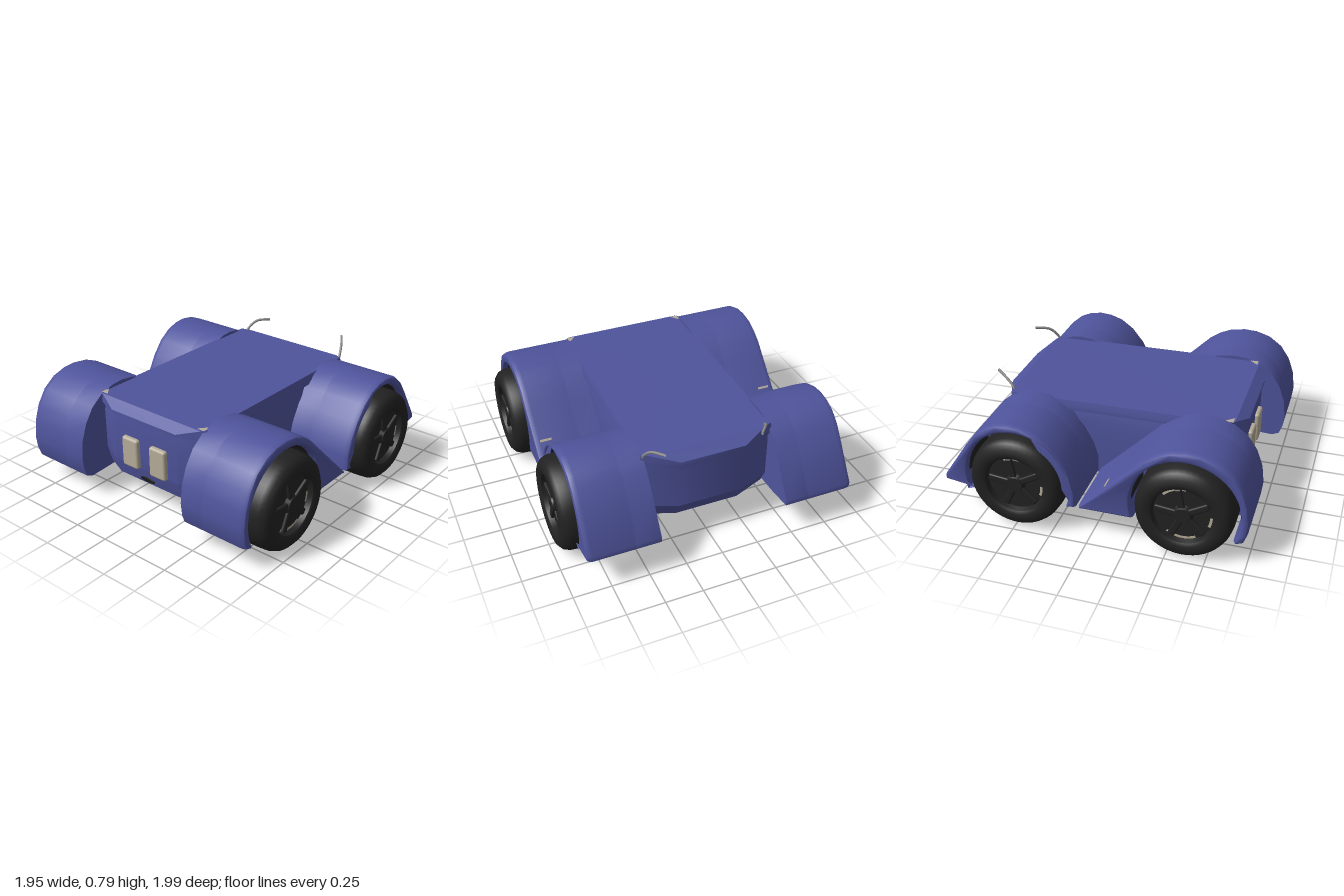
import * as THREE from 'three';
import { toCreasedNormals } from 'three/addons/utils/BufferGeometryUtils.js';
import { RoundedBoxGeometry } from 'three/addons/geometries/RoundedBoxGeometry.js';

const mat = (name, color, side = THREE.FrontSide) => {
  const m = new THREE.MeshStandardMaterial({ color, side });
  m.name = name;
  return m;
};

export function createModel() {
  const blue = mat('body blue', 0x4f549c);
  const black = mat('tyre black', 0x222222, THREE.DoubleSide);
  const cream = mat('lamp cream', 0xb5ab98, THREE.DoubleSide);
  const grey = mat('metal grey', 0x8a8a8a, THREE.DoubleSide);

  const model = new THREE.Group();
  model.name = 'buggy';
  const shell = new THREE.Group();
  shell.name = 'shell';
  shell.position.x = -0.015;
  model.add(shell);

  const add = (parent, name, geometry, material, x = 0, y = 0, z = 0) => {
    const mesh = new THREE.Mesh(geometry, material);
    mesh.name = name;
    mesh.position.set(x, y, z);
    parent.add(mesh);
    return mesh;
  };

  // Closed loft through chamfered rectangles stacked in y
  const loft = (levels) => {
    const rings = levels.map(({ y, hw, fw, bw, zf, zb, cf, cb }) => [
      [fw, zf], [hw, zf - cf], [hw, zb + cb], [bw, zb],
      [-bw, zb], [-hw, zb + cb], [-hw, zf - cf], [-fw, zf],
    ].map(([x, z]) => [x, y + 0.01 * z, z]));
    const pos = [];
    const tri = (a, b, c) => pos.push(...a, ...b, ...c);
    const bottom = rings[0], top = rings[rings.length - 1];
    for (let i = 0; i < 8; i++) {
      const j = (i + 1) % 8;
      for (let k = 0; k + 1 < rings.length; k++) {
        const lo = rings[k], hi = rings[k + 1];
        tri(lo[i], lo[j], hi[i]);
        tri(lo[j], hi[j], hi[i]);
      }
      tri([0, top[0][1], 0], top[i], top[j]);
      tri([0, bottom[0][1], 0], bottom[j], bottom[i]);
    }
    const g = new THREE.BufferGeometry();
    g.setAttribute('position', new THREE.Float32BufferAttribute(pos, 3));
    return toCreasedNormals(g, 0.45);
  };

  // Hull and lid
  const plan = { hw: 0.445, fw: 0.27, bw: 0.22, zf: 0.845, zb: -0.78, cf: 0.08, cb: 0.09 };
  add(shell, 'hull', loft([
    { ...plan, y: 0.18, zf: 0.81, zb: -0.71 },
    { ...plan, y: 0.3 },
    { ...plan, y: 0.57 },
    { ...plan, y: 0.64, hw: 0.43, zf: 0.84 },
  ]), blue);
  add(shell, 'lid', loft([
    { ...plan, y: 0.635, hw: 0.455, zf: 0.86, zb: -0.79 },
    { ...plan, y: 0.655, hw: 0.455, zf: 0.86, zb: -0.79 },
    { ...plan, y: 0.702, hw: 0.445, fw: 0.42, bw: 0.4, zf: 0.795, zb: -0.71, cf: 0.02, cb: 0.02 },
  ]), blue);

  // Front lamps, air slot and pale lid corners
  for (const s of [-1, 1]) {
    add(shell, 'frontLamp', new RoundedBoxGeometry(0.135, 0.21, 0.05, 3, 0.018), cream, s * 0.117, 0.405, 0.85);
    const corner = new THREE.Shape([[0.435, -0.72], [0.435, -0.785], [0.38, -0.785]].map(([x, y]) => new THREE.Vector2(s * x, y)));
    add(shell, 'lidCorner', new THREE.ShapeGeometry(corner).rotateX(-Math.PI / 2), cream, 0, 0.713, 0);
  }
  const slot = add(shell, 'airSlot', new THREE.CylinderGeometry(0.06, 0.06, 0.008, 24).rotateX(Math.PI / 2), black, -0.01, 0.225, 0.828);
  slot.scale.y = 0.3;
  slot.rotation.x = 0.28;

  // Fenders: a solid inner part and an outer part cut by the wheel arch
  const ARCH = 0.345, OUTER = 0.91;
  const extrudeAcross = (pts, inner, outer, bevel) => {
    const t = bevel ? 0.04 : 0;
    const g = new THREE.ExtrudeGeometry(new THREE.Shape(pts), {
      depth: outer - inner - 2 * t, bevelEnabled: bevel, bevelThickness: t,
      bevelSize: 0.018, bevelOffset: -0.018, bevelSegments: 3,
    });
    g.rotateY(-Math.PI / 2).translate(outer - t, 0, 0);
    return toCreasedNormals(g, 0.6);
  };
  const axles = [
    {
      name: 'front', z: 0.6, y: 0.32, from: 200, to: -27,
      outline: [[0.92, 0.145], [0.97, 0.165], [0.99, 0.22], [1, 0.31], [0.985, 0.43], [0.945, 0.54], [0.88, 0.635],
        [0.79, 0.7], [0.69, 0.73], [0.6, 0.735], [0.5, 0.72], [0.42, 0.685], [0.34, 0.63], [0.26, 0.55], [-0.08, 0.215], [-0.08, 0.2]],
    },
    {
      name: 'rear', z: -0.485, y: 0.325, from: 197, to: -22,
      outline: [[-0.1, 0.2], [-0.1, 0.31], [-0.13, 0.41], [-0.19, 0.52], [-0.27, 0.62], [-0.36, 0.685], [-0.45, 0.715],
        [-0.53, 0.722], [-0.61, 0.71], [-0.69, 0.675], [-0.76, 0.615], [-0.83, 0.52], [-0.99, 0.28], [-0.99, 0.245], [-0.8, 0.225]],
    },
  ];
  for (const a of axles) {
    const outline = a.outline.map((p) => new THREE.Vector2(...p));
    const arch = [];
    for (let i = 0; i <= 28; i++) {
      const t = THREE.MathUtils.degToRad(a.from + (a.to - a.from) * i / 28);
      arch.push(new THREE.Vector2(a.z + ARCH * Math.cos(t), a.y + ARCH * Math.sin(t)));
    }
    for (const s of [-1, 1]) {
      const flip = s > 0 ? 0 : -2 * OUTER + (OUTER - 0.55);
      const flipInner = s > 0 ? 0 : -0.6 - 0.43;
      add(shell, a.name + 'FenderOuter', extrudeAcross([...outline, ...arch], 0.55, OUTER, true), blue, flip);
      add(shell, a.name + 'FenderInner', extrudeAcross(outline, 0.43, 0.6, false), blue, flipInner);
      // Dark lining inside the wheel arch
      const lining = new THREE.CylinderGeometry(ARCH - 0.003, ARCH - 0.003, 0.27, 40, 1, true, Math.PI / 2, Math.PI);
      lining.rotateZ(Math.PI / 2).rotateX(0);
      const p = lining.attributes.position;
      for (let i = 0; i < p.count; i++) {
        // keep the half ring above the axle whatever its start angle
        const ang = Math.PI * (i % 41) / 40;
        p.setXYZ(i, p.getX(i), (ARCH - 0.003) * Math.sin(ang), (ARCH - 0.003) * Math.cos(ang));
      }
      lining.computeVertexNormals();
      add(shell, a.name + 'ArchLining', lining, black, s * 0.735, a.y, a.z);
    }
  }
  // Pale slivers on the sloping tails of the front fenders
  for (const s of [-1, 1]) {
    const sliver = add(shell, 'fenderMark', new THREE.BoxGeometry(0.08, 0.006, 0.016), cream, s * 0.83, 0.384, 0.09);
    sliver.rotation.x = -0.78;
  }

  // Wheels, modelled along +x and turned round for the right side
  const tyre = [[0.22, 0.012], [0.26, 0], [0.29, 0.02], [0.31, 0.06], [0.314, 0.12], [0.314, 0.22], [0.309, 0.28],
    [0.295, 0.315], [0.265, 0.34], [0.215, 0.342], [0.195, 0.33], [0.185, 0.295], [0, 0.295]];
  const tyreGeo = toCreasedNormals(new THREE.LatheGeometry(tyre.map((p) => new THREE.Vector2(...p)), 48).rotateZ(-Math.PI / 2), 0.7);
  const discGeo = new THREE.CylinderGeometry(0.225, 0.225, 0.02, 40).rotateZ(Math.PI / 2);
  const hubGeo = new THREE.CylinderGeometry(0.05, 0.065, 0.03, 24).rotateZ(-Math.PI / 2);
  const arcGeo = (start, len) => new THREE.RingGeometry(0.165, 0.182, 20, 1, start, len).rotateY(Math.PI / 2);
  const spokeGeo = new RoundedBoxGeometry(0.025, 0.14, 0.045, 2, 0.01).translate(0, 0.11, 0);
  for (const a of axles) {
    for (const s of [-1, 1]) {
      const wheel = new THREE.Group();
      wheel.name = a.name + (s > 0 ? 'LeftWheel' : 'RightWheel');
      wheel.position.set(s * 0.635, a.y, a.z);
      wheel.rotation.y = s > 0 ? 0 : Math.PI;
      model.add(wheel);
      add(wheel, 'tyre', tyreGeo, black);
      add(wheel, 'innerDisc', discGeo, grey, 0.02);
      add(wheel, 'hub', hubGeo, black, 0.31);
      for (let i = 0; i < 5; i++) {
        add(wheel, 'spoke', spokeGeo, black, 0.305).rotation.x = i * Math.PI * 0.4 + 0.2;
      }
      const arcs = a.name === 'front' ? [[1.5, 0.9], [4.1, 1.1], [5.9, 0.4]] : [[1.4, 0.6], [5.9, 0.4]];
      for (const [start, len] of arcs) add(wheel, 'rimEdge', arcGeo(start, len), cream, 0.298);
    }
  }

  // Curved rear aerials
  const aerials = [
    ['leftAerial', [[0.42, 0.65, -0.68], [0.415, 0.71, -0.71], [0.39, 0.765, -0.765], [0.335, 0.785, -0.85]]],
    ['rightAerial', [[-0.42, 0.65, -0.68], [-0.405, 0.71, -0.71], [-0.375, 0.755, -0.775], [-0.31, 0.76, -0.85]]],
  ];
  for (const [name, pts] of aerials) {
    const curve = new THREE.CatmullRomCurve3(pts.map((p) => new THREE.Vector3(...p)));
    add(model, name, new THREE.TubeGeometry(curve, 20, 0.009, 8), grey);
    add(model, name + 'Base', new THREE.SphereGeometry(0.02, 12, 8), blue, ...pts[0]);
  }
  return model;
}
